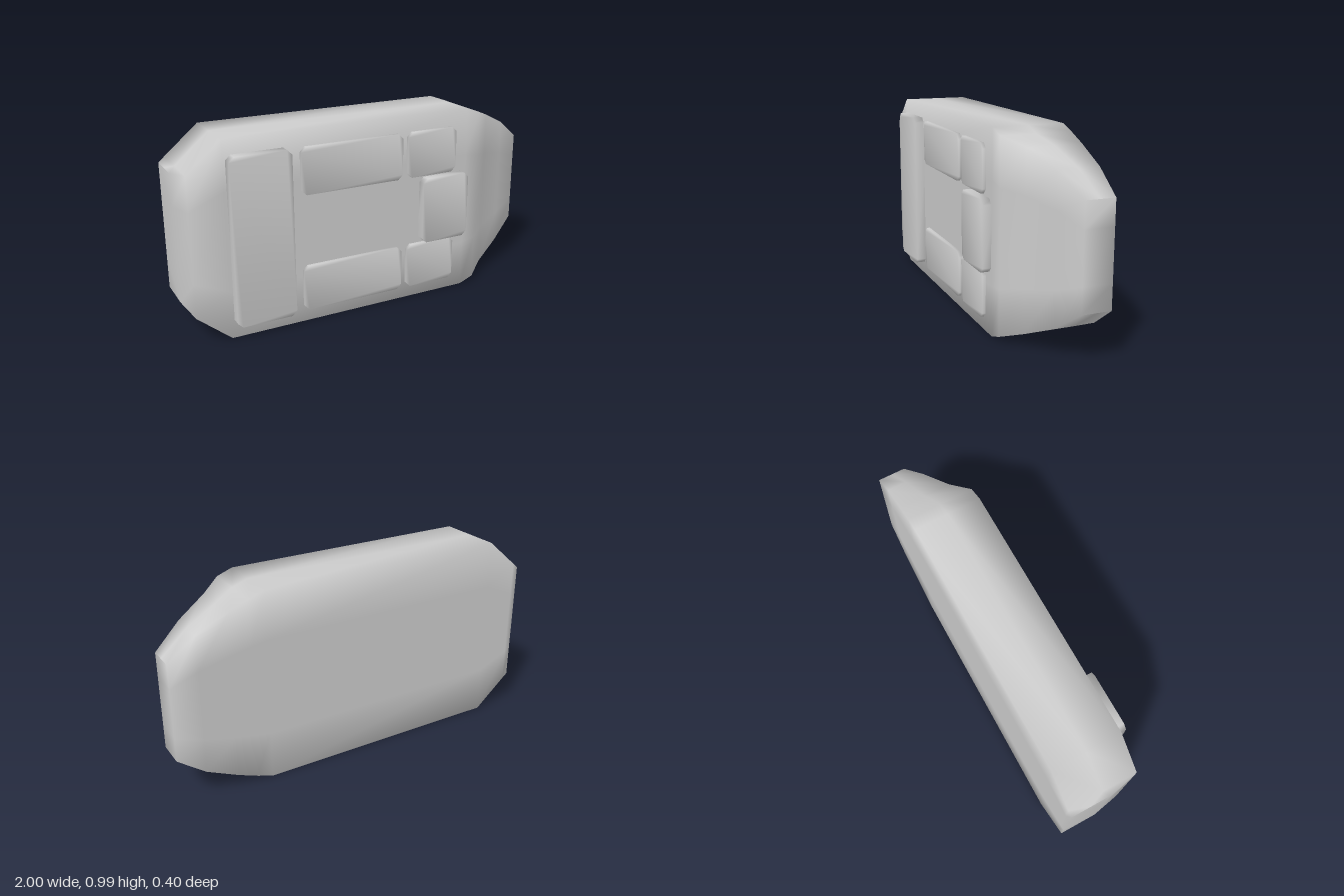
import * as THREE from 'three';
import { mergeVertices } from 'three/addons/utils/BufferGeometryUtils.js';

const MID = 0.495, BACK = -0.2;
const material = new THREE.MeshStandardMaterial({ color: 0xcccccc });

// Hull: rings of ten shared corners lofted along x, smooth shaded
function hullGeometry() {
  // x, half height, front z
  const stations = [
    [-1, 0.325, 0], [-0.97, 0.35, 0.153], [-0.8, 0.495, 0.153], [0.52, 0.495, 0.153],
    [0.6, 0.467, 0.15], [0.7, 0.427, 0.073], [0.86, 0.352, 0], [1, 0.247, -0.055],
  ];
  const positions = [], index = [], n = 10;
  for (const [x, h, front] of stations) {
    const middle = (front + BACK) / 2, q = h * 0.5;
    const ring = [[-h, BACK], [-q, BACK], [q, BACK], [h, BACK], [h, middle],
      [h, front], [q, front], [-q, front], [-h, front], [-h, middle]];
    for (const [y, z] of ring) positions.push(x, MID + y, z);
  }
  for (let s = 0; s < stations.length - 1; s++) {
    for (let i = 0; i < n; i++) {
      const a = s * n + i, b = s * n + (i + 1) % n;
      index.push(a, b, a + n, b, b + n, a + n);
    }
  }
  // Flat stern and bow ends
  const cap = [[0, 8, 9], [0, 1, 8], [1, 7, 8], [1, 2, 7], [2, 6, 7], [2, 3, 6], [3, 5, 6], [3, 4, 5]];
  const last = (stations.length - 1) * n;
  for (const [a, b, c] of cap) {
    index.push(a, c, b, last + a, last + b, last + c);
  }
  const geometry = new THREE.BufferGeometry();
  geometry.setAttribute('position', new THREE.Float32BufferAttribute(positions, 3));
  geometry.setIndex(index);
  geometry.computeVertexNormals();
  return geometry;
}

// Raised pad with clipped corners, its base sunk into the deck
function pad(name, x0, x1, y0, y1, top) {
  const c = 0.025, base = 0.13;
  const shape = new THREE.Shape([
    [x0 + c, y0], [x1 - c, y0], [x1, y0 + c], [x1, y1 - c],
    [x1 - c, y1], [x0 + c, y1], [x0, y1 - c], [x0, y0 + c],
  ].map(([x, y]) => new THREE.Vector2(x, y)));
  let geometry = new THREE.ExtrudeGeometry(shape, { depth: top - base, bevelEnabled: false });
  geometry.deleteAttribute('normal');
  geometry.deleteAttribute('uv');
  geometry = mergeVertices(geometry);
  geometry.computeVertexNormals();
  const mesh = new THREE.Mesh(geometry, material);
  mesh.name = name;
  mesh.position.z = base;
  return mesh;
}

export function createModel() {
  const group = new THREE.Group();
  group.name = 'hullWithPads';
  const hull = new THREE.Mesh(hullGeometry(), material);
  hull.name = 'hull';
  group.add(hull);

  // End pad and centre pad
  group.add(pad('endPad', -0.785, -0.48, 0.07, 0.915, 0.203));
  group.add(pad('centrePad', 0.24, 0.513, 0.31, 0.66, 0.196));

  // Side pads along the lower and upper edges
  for (const [side, y0, y1] of [['lower', 0.065, 0.302], ['upper', 0.67, 0.907]]) {
    group.add(pad(side + 'LongPad', -0.423, 0.13, y0, y1, 0.17));
    group.add(pad(side + 'ShortPad', 0.16, 0.447, y0, y1, 0.17));
  }
  return group;
}
